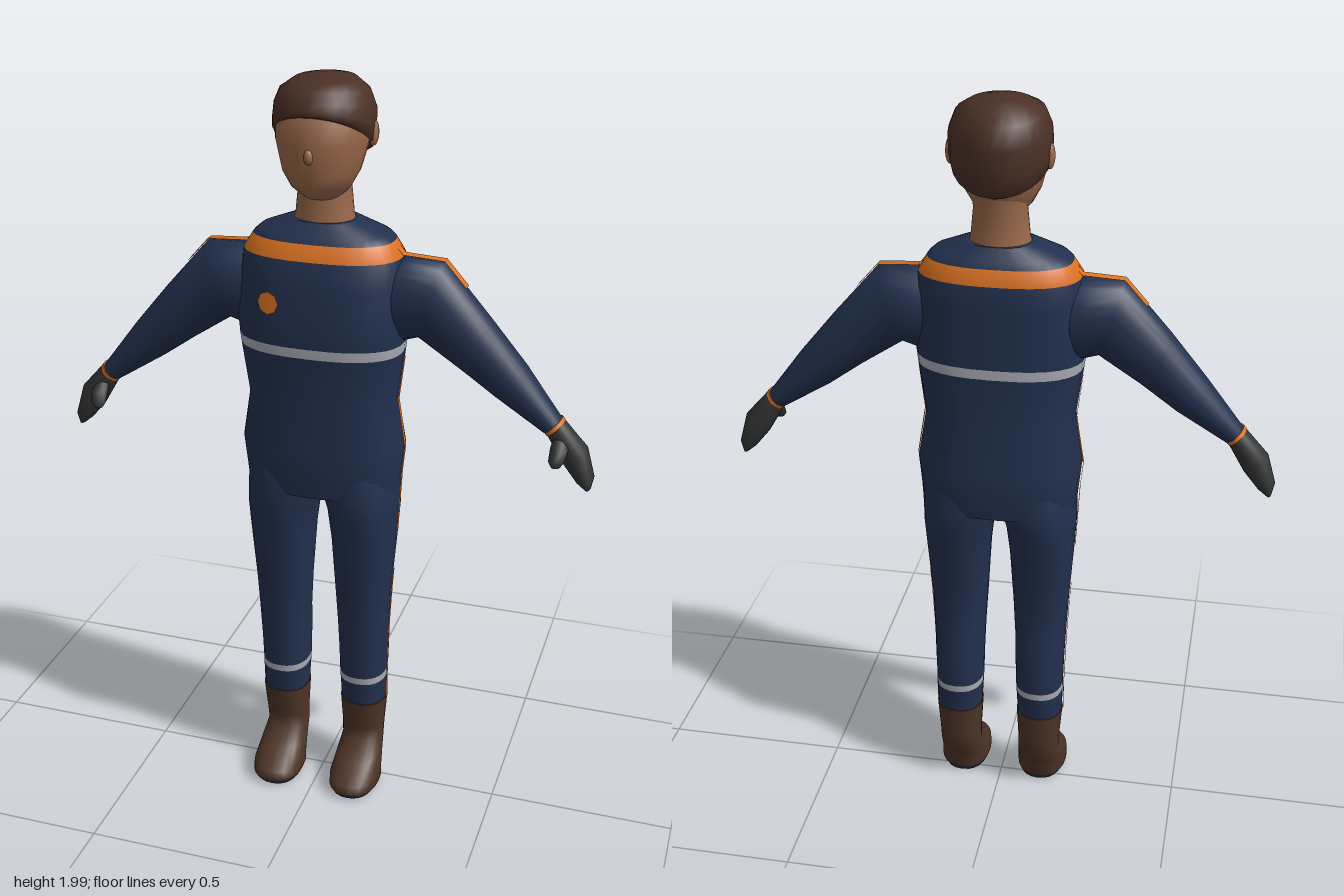
import * as THREE from 'three';

const paint = (name, color, side = THREE.FrontSide) => {
  const m = new THREE.MeshStandardMaterial({ color, side });
  m.name = name;
  return m;
};
const V = (x, y, z) => new THREE.Vector3(x, y, z);

// Horizontal ring: y, x range, front z, back z, forward tilt, colour of the band above
const ring = (y, x0, x1, zf, zb, mat, tilt = 0) => ({
  c: V((x0 + x1) / 2, y, (zf + zb) / 2), u: V((x1 - x0) / 2, 0, 0), v: V(0, tilt, (zf - zb) / 2), mat,
});
// Ring across a limb: upper-edge point, lower-edge point, front z, back z
const limb = (xt, yt, xb, yb, zf, zb, mat) => ({
  c: V((xt + xb) / 2, (yt + yb) / 2, (zf + zb) / 2), u: V((xt - xb) / 2, (yt - yb) / 2, 0), v: V(0, 0, (zf - zb) / 2), mat,
});
const soft = (t, p) => Math.sign(t) * Math.pow(Math.abs(t), 2 / p);

// Skin rings into a closed smooth body, one geometry group per colour band
function loft(name, rows, p = 2, n = 24) {
  const pos = [], idx = [], mats = [], g = new THREE.BufferGeometry();
  const addRing = (r) => {
    const start = pos.length / 3;
    for (let j = 0; j < n; j++) {
      const a = (j / n) * Math.PI * 2;
      const cs = Math.abs(Math.cos(a)) < 1e-9 ? 0 : Math.cos(a), sn = Math.abs(Math.sin(a)) < 1e-9 ? 0 : Math.sin(a);
      pos.push(...r.c.clone().addScaledVector(r.u, soft(cs, p)).addScaledVector(r.v, soft(sn, p)).toArray());
    }
    return start;
  };
  const group = (mat, from) => {
    if (!mats.includes(mat)) mats.push(mat);
    g.addGroup(from, idx.length - from, mats.indexOf(mat));
  };
  const starts = rows.map(addRing);
  for (let i = 0; i + 1 < rows.length; i++) {
    const from = idx.length;
    for (let j = 0; j < n; j++) {
      const k = (j + 1) % n, a = starts[i], b = starts[i + 1];
      idx.push(a + j, b + j, a + k, a + k, b + j, b + k);
    }
    group(rows[i].mat, from);
  }
  // End caps
  [[rows[0], rows[0].mat, true], [rows[rows.length - 1], rows[rows.length - 2].mat, false]].forEach(([r, mat, low]) => {
    const from = idx.length, s = addRing(r), mid = pos.length / 3;
    pos.push(...r.c.toArray());
    for (let j = 0; j < n; j++) {
      const k = s + ((j + 1) % n);
      if (low) idx.push(mid, s + j, k); else idx.push(mid, k, s + j);
    }
    group(mat, from);
  });
  g.setAttribute('position', new THREE.Float32BufferAttribute(pos, 3));
  g.setIndex(idx);
  g.computeVertexNormals();
  const mesh = new THREE.Mesh(g, mats.length > 1 ? mats : mats[0]);
  mesh.name = name;
  return mesh;
}

// Thin trim strip along outward-facing points
function ribbon(name, pts, w, mat) {
  const pos = [], idx = [];
  pts.forEach(([x, y, z], i) => {
    pos.push(x, y, z - w, x, y, z + w);
    if (i) { const a = 2 * i - 2; idx.push(a, a + 1, a + 2, a + 1, a + 3, a + 2); }
  });
  const g = new THREE.BufferGeometry();
  g.setAttribute('position', new THREE.Float32BufferAttribute(pos, 3));
  g.setIndex(idx);
  g.computeVertexNormals();
  const mesh = new THREE.Mesh(g, mat);
  mesh.name = name;
  return mesh;
}

function mirrored(mesh) {
  const g = mesh.geometry.clone().scale(-1, 1, 1), ix = g.index;
  for (let i = 0; i < ix.count; i += 3) {
    const t = ix.getX(i);
    ix.setX(i, ix.getX(i + 1));
    ix.setX(i + 1, t);
  }
  g.computeVertexNormals();
  const m = new THREE.Mesh(g, mesh.material);
  m.name = mesh.name.replace('left', 'right');
  return m;
}

function blob(name, x, y, z, sx, sy, sz, mat) {
  const m = new THREE.Mesh(new THREE.SphereGeometry(1, 12, 8).scale(sx, sy, sz).translate(x, y, z), mat);
  m.name = name;
  return m;
}

export function createModel() {
  const navy = paint('navy cloth', 0x22304e), orange = paint('orange trim', 0xdc7222, THREE.DoubleSide);
  const silver = paint('reflective band', 0xa9adb5), skin = paint('skin', 0x99684a);
  const hair = paint('hair', 0x4b3026), leather = paint('boot leather', 0x4e3427);
  const rubber = paint('sole rubber', 0x26282c), glove = paint('glove', 0x333434);
  const model = new THREE.Group();
  model.name = 'worker';

  // Torso with chest band and yoke stripe
  const wide = (y, x, zf, zb, mat, tilt) => ring(y, -x, x, zf, zb, mat, tilt);
  model.add(loft('torso', [
    wide(0.925, 0.203, 0.118, -0.138, navy), wide(0.98, 0.208, 0.124, -0.145, navy),
    wide(1.05, 0.215, 0.13, -0.146, navy), wide(1.18, 0.194, 0.125, -0.131, navy),
    wide(1.32, 0.213, 0.136, -0.131, silver), wide(1.346, 0.216, 0.138, -0.131, navy),
    wide(1.4, 0.22, 0.14, -0.131, navy), wide(1.5, 0.212, 0.13, -0.131, navy),
    wide(1.565, 0.205, 0.117, -0.13, orange), wide(1.603, 0.182, 0.095, -0.112, navy),
    wide(1.618, 0.165, 0.085, -0.104, navy), wide(1.648, 0.085, 0.058, -0.08, navy),
  ], 2.5, 32));

  // Chest badge curved onto the torso front
  const badgeGeo = new THREE.CircleGeometry(0.029, 8).translate(-0.105, 1.455, 0);
  const bp = badgeGeo.attributes.position;
  for (let i = 0; i < bp.count; i++) {
    const t = Math.abs(bp.getX(i)) / 0.216;
    bp.setZ(i, 0.0045 + 0.1355 * Math.pow(1 - Math.pow(t, 2.5), 0.4) - (bp.getY(i) - 1.455) * 0.1);
  }
  badgeGeo.computeVertexNormals();
  const badge = new THREE.Mesh(badgeGeo, orange);
  badge.name = 'chestBadge';
  model.add(badge);

  // Neck, head and hair
  model.add(loft('neck', [
    wide(1.62, 0.085, 0.058, -0.08, skin), wide(1.66, 0.074, 0.053, -0.074, skin),
    wide(1.73, 0.067, 0.05, -0.072, skin), wide(1.8, 0.072, 0.05, -0.085, skin),
  ]));
  model.add(loft('head', [
    wide(1.705, 0.045, 0.055, -0.04, skin), wide(1.735, 0.074, 0.098, -0.06, skin),
    wide(1.775, 0.096, 0.12, -0.085, skin), wide(1.85, 0.116, 0.126, -0.11, skin),
    wide(1.91, 0.117, 0.119, -0.12, skin), wide(1.96, 0.09, 0.08, -0.1, skin),
  ]));
  model.add(loft('hair', [
    wide(1.845, 0.1, 0.11, -0.1, hair, 0.07), wide(1.852, 0.123, 0.128, -0.118, hair, 0.07),
    wide(1.88, 0.126, 0.128, -0.138, hair, 0.055), wide(1.925, 0.124, 0.12, -0.146, hair, 0.025),
    wide(1.965, 0.108, 0.108, -0.132, hair, 0.01), wide(1.988, 0.075, 0.075, -0.1, hair),
    wide(1.997, 0.035, 0.03, -0.055, hair), wide(2.0, 0.006, 0, -0.02, hair),
  ]));
  model.add(blob('nose', 0, 1.826, 0.12, 0.012, 0.02, 0.014, skin));

  const left = [];
  left.push(blob('leftEar', 0.12, 1.863, -0.018, 0.013, 0.033, 0.019, skin));

  // Arm, listed from the cuff up to the shoulder
  left.push(loft('leftArm', [
    limb(0.622, 1.182, 0.583, 1.142, 0.033, -0.041, navy),
    limb(0.525, 1.31, 0.448, 1.226, 0.047, -0.066, navy),
    limb(0.43, 1.424, 0.36, 1.288, 0.058, -0.07, navy),
    limb(0.31, 1.56, 0.25, 1.36, 0.066, -0.08, navy),
    limb(0.21, 1.563, 0.2, 1.345, 0.075, -0.088, navy),
    limb(0.12, 1.55, 0.14, 1.35, 0.06, -0.075, navy),
  ]));
  left.push(loft('leftCuffTrim', [
    limb(0.629, 1.18, 0.586, 1.138, 0.035, -0.043, orange),
    limb(0.622, 1.188, 0.579, 1.146, 0.036, -0.044, orange),
  ]));
  left.push(ribbon('leftShoulderStripe',
    [[0.17, 1.612, -0.01], [0.205, 1.57, -0.01], [0.31, 1.564, -0.01], [0.367, 1.5, -0.01]], 0.014, orange));

  // Gloved hand, listed from the fingertips up
  left.push(loft('leftGlove', [
    limb(0.706, 1.004, 0.692, 1.0, 0.015, -0.025, glove),
    limb(0.712, 1.035, 0.668, 1.02, 0.03, -0.04, glove),
    limb(0.69, 1.112, 0.63, 1.066, 0.033, -0.046, glove),
    limb(0.628, 1.18, 0.587, 1.138, 0.029, -0.038, glove),
  ]));
  left.push(loft('leftThumb', [
    ring(1.078, 0.61, 0.632, 0.068, 0.05, glove), ring(1.09, 0.602, 0.642, 0.072, 0.035, glove),
    ring(1.118, 0.602, 0.648, 0.06, 0.01, glove), ring(1.14, 0.606, 0.634, 0.03, 0, glove),
  ], 2, 10));

  // Trouser leg with ankle band
  left.push(loft('leftLeg', [
    ring(0.255, 0.053, 0.177, 0.047, -0.086, navy), ring(0.332, 0.049, 0.178, 0.055, -0.094, silver),
    ring(0.352, 0.048, 0.178, 0.057, -0.096, navy), ring(0.43, 0.046, 0.18, 0.062, -0.098, navy),
    ring(0.52, 0.043, 0.183, 0.068, -0.088, navy), ring(0.62, 0.037, 0.188, 0.074, -0.084, navy),
    ring(0.78, 0.028, 0.199, 0.098, -0.112, navy), ring(0.87, 0.018, 0.204, 0.114, -0.132, navy),
    ring(0.93, 0, 0.203, 0.118, -0.138, navy), ring(1.0, 0, 0.19, 0.11, -0.13, navy),
  ], 2.3));

  // Side seam stripes
  const z = -0.012;
  left.push(ribbon('leftHipStripe', [[0.212, 1.3, z], [0.198, 1.18, z], [0.219, 1.05, z], [0.212, 0.98, z],
    [0.208, 0.9, z], [0.203, 0.8, z]], 0.008, orange));
  left.push(ribbon('leftLegStripe', [[0.195, 0.68, z], [0.191, 0.62, z], [0.186, 0.52, z], [0.183, 0.43, z],
    [0.181, 0.35, z - 0.004], [0.181, 0.26, z - 0.006]], 0.007, orange));

  // Boot with dark sole
  left.push(loft('leftBoot', [
    ring(0.006, 0.052, 0.172, 0.142, -0.028, rubber), ring(0.024, 0.044, 0.183, 0.155, -0.037, leather),
    ring(0.052, 0.045, 0.182, 0.153, -0.042, leather), ring(0.09, 0.05, 0.176, 0.088, -0.056, leather),
    ring(0.128, 0.055, 0.17, 0.03, -0.076, leather), ring(0.17, 0.055, 0.172, 0.036, -0.08, leather),
    ring(0.262, 0.05, 0.179, 0.05, -0.089, leather),
  ], 2.3));

  left.forEach((part) => model.add(part, mirrored(part)));
  model.position.y = -0.003;
  return model;
}
